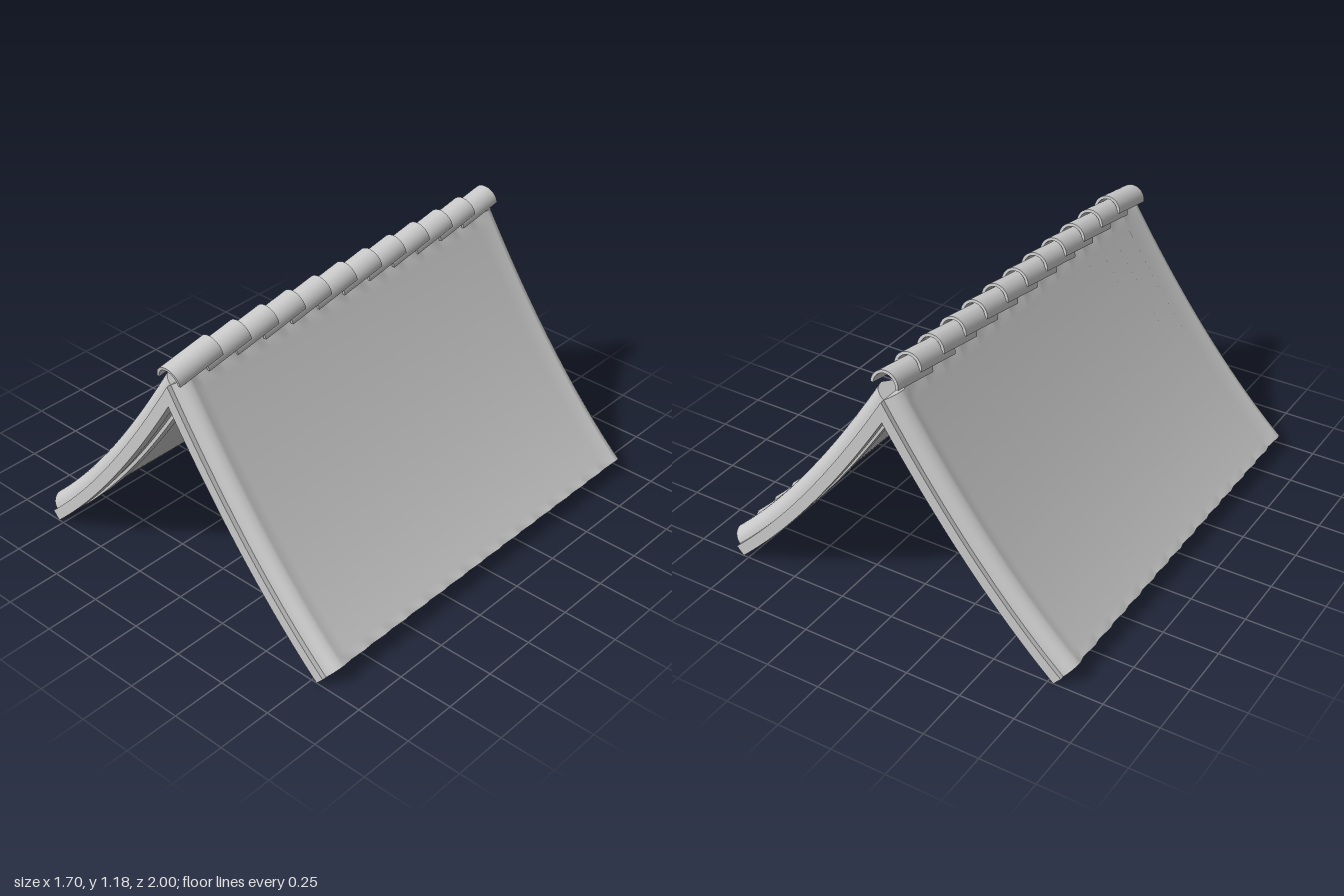
import * as THREE from 'three';
import { toCreasedNormals } from 'three/addons/utils/BufferGeometryUtils.js';

const EAVE_X = 0.81;
const STEPS = 24;
const material = new THREE.MeshStandardMaterial({ color: 0xcccccc });

// Point on the sagging roof slope, moved along its normal by "off".
function slopePoint(t, off) {
  const start = Math.max(0, -off * 0.843); // inner layers meet at the centre line
  const x = start + (EAVE_X - start) * t;
  const y = 1.052 - 1.6 * x + 0.428 * x * x;
  const n = new THREE.Vector2(1.6 - 0.856 * x, 1).normalize();
  return [x + n.x * off, y + n.y * off];
}

// Sweep a closed [z, offset] section down the slope; side is +1 or -1.
function sweepSlope(section, side, crease) {
  let pts = section.map(([z, o]) => new THREE.Vector2(z, o));
  if (THREE.ShapeUtils.isClockWise(pts)) pts = pts.reverse();
  const n = pts.length;
  const pos = [];
  const idx = [];
  const tri = (a, b, c) => (side > 0 ? idx.push(a, b, c) : idx.push(a, c, b));
  for (let i = 0; i <= STEPS; i++) {
    for (const p of pts) {
      const [x, y] = slopePoint(i / STEPS, p.y);
      pos.push(side * x, y, p.x);
    }
  }
  for (let i = 0; i < STEPS; i++) {
    for (let j = 0; j < n; j++) {
      const a = i * n + j;
      const b = i * n + ((j + 1) % n);
      tri(a, a + n, b + n);
      tri(a, b + n, b);
    }
  }
  const last = STEPS * n;
  for (const [a, b, c] of THREE.ShapeUtils.triangulateShape(pts, [])) {
    tri(a, b, c);
    tri(last + a, last + c, last + b);
  }
  const geo = new THREE.BufferGeometry();
  geo.setAttribute('position', new THREE.Float32BufferAttribute(pos, 3));
  geo.setIndex(idx);
  return toCreasedNormals(geo, crease);
}

// Complete a half section (z > 0) with its mirror image.
const mirrorSection = (half) => [...half, ...half.map(([z, o]) => [-z, o]).reverse()];

// Zigzag covering whose first and last waves roll down over the gable edge.
function coveringSection() {
  const END = 0.98, WAVES = 16, HIGH = 0.062, LOW = 0.034;
  const pitch = (2 * END) / WAVES;
  const pts = [];
  const roll = (k) => {
    const a = (k / 6) * Math.PI / 2;
    return [END - pitch / 2 + Math.cos(a) * pitch / 2, Math.sin(a) * HIGH];
  };
  for (let k = 0; k <= 6; k++) pts.push(roll(k));
  for (let k = 2; k < 2 * WAVES - 1; k++) pts.push([END - k * pitch / 2, k % 2 ? HIGH : LOW]);
  for (let k = 6; k >= 0; k--) {
    const [z, o] = roll(k);
    pts.push([-z, o]);
  }
  return pts;
}

// Under-board with two rafters near each gable.
const boardSection = mirrorSection([
  [1, 0], [1, -0.05], [0.95, -0.05], [0.95, -0.035],
  [0.88, -0.035], [0.88, -0.05], [0.835, -0.05], [0.835, -0.035],
]);

// Half-round ridge tile running from z = 0 towards -z.
function ridgeTileGeometry() {
  const shape = new THREE.Shape();
  shape.absarc(0, 0, 0.065, 0, Math.PI, false);
  shape.absarc(0, 0, 0.052, Math.PI, 0, true);
  shape.closePath();
  const geo = new THREE.ExtrudeGeometry(shape, { depth: 0.238, bevelEnabled: false, curveSegments: 14 });
  geo.translate(0, 0, -0.238);
  return toCreasedNormals(geo, 0.7);
}

export function createModel() {
  const model = new THREE.Group();
  model.name = 'roof';
  const add = (geo, name) => {
    const mesh = new THREE.Mesh(geo, material);
    mesh.name = name;
    model.add(mesh);
    return mesh;
  };

  // Two mirrored slopes
  for (const side of [1, -1]) {
    const label = side > 0 ? 'left' : 'right';
    add(sweepSlope(coveringSection(), side, 1.05), label + 'Covering');
    add(sweepSlope(boardSection, side, 0.5), label + 'BoardAndRafters');
  }

  // Overlapping ridge tiles, each raised at its rear end
  const tile = ridgeTileGeometry();
  for (let i = 0; i < 12; i++) {
    const mesh = add(tile, 'ridgeTile' + (i + 1));
    mesh.position.set(0, 1.071, 0.989 - i * 0.157);
    mesh.rotation.x = 0.17;
  }
  return model;
}
